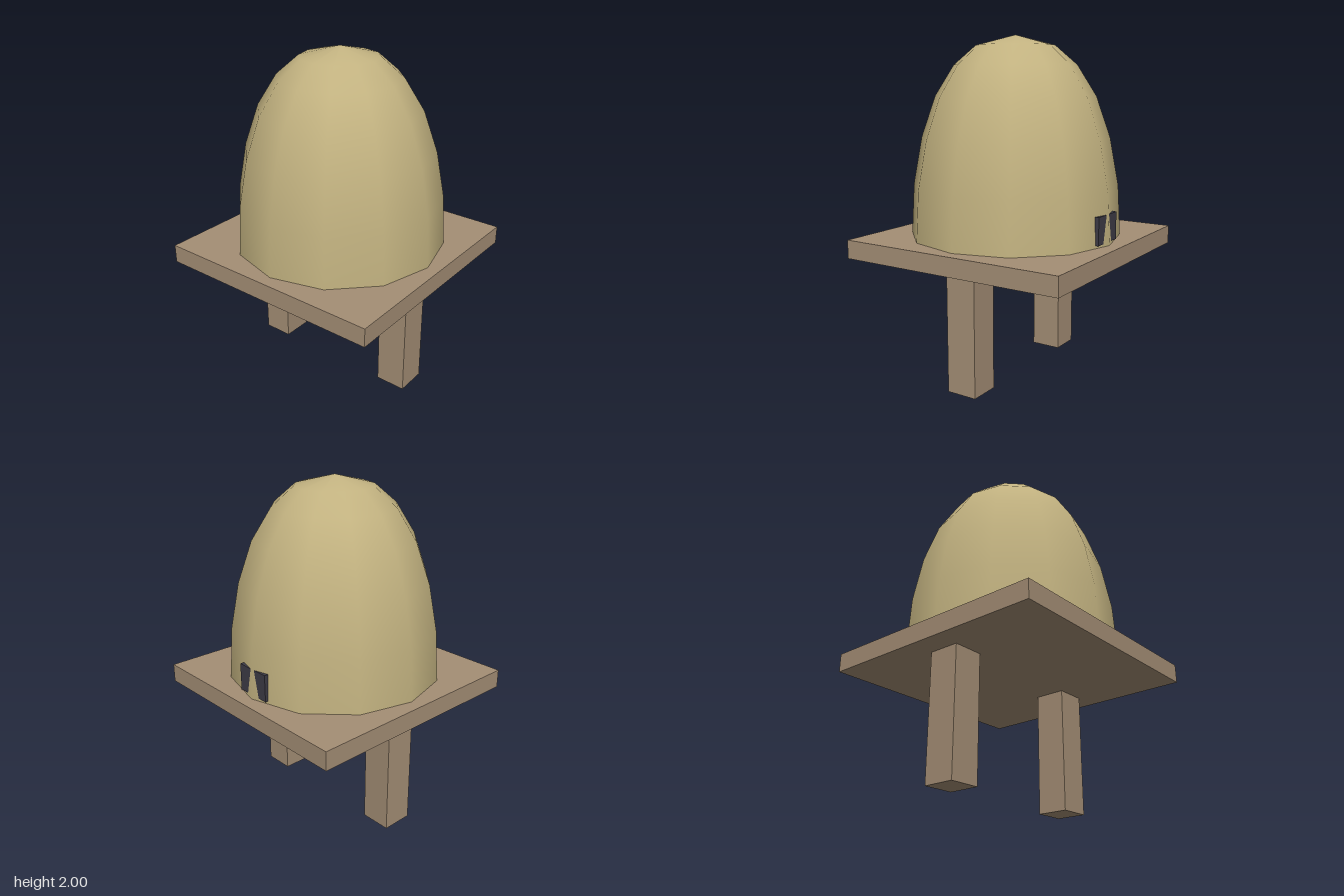
import * as THREE from 'three';

export function createModel() {
  const straw = new THREE.MeshStandardMaterial({ color: 0xc2b280 });
  straw.name = 'straw';
  const wood = new THREE.MeshStandardMaterial({ color: 0xa48e75 });
  wood.name = 'wood';
  const dark = new THREE.MeshStandardMaterial({ color: 0x3e3c47 });
  dark.name = 'darkOpening';

  const model = new THREE.Group();
  model.name = 'beehiveOnStand';

  const add = (name, geometry, material, x, y, z) => {
    const mesh = new THREE.Mesh(geometry, material);
    mesh.name = name;
    mesh.position.set(x, y, z);
    model.add(mesh);
  };

  // Two square legs and the board they carry
  for (const [name, side] of [['leftLeg', 1], ['rightLeg', -1]]) {
    add(name, new THREE.BoxGeometry(0.184, 0.725, 0.186), wood, side * 0.462, 0.3625, 0);
  }
  add('board', new THREE.BoxGeometry(1.4, 0.11, 1.4), wood, 0, 0.78, 0);

  // Smooth twelve-sided dome, from its foot to its tip
  const profile = [
    [0.627, 0.835], [0.61, 1.13], [0.557, 1.41], [0.473, 1.65],
    [0.36, 1.83], [0.23, 1.942], [0, 2],
  ].map(([r, y]) => new THREE.Vector2(r, y));
  add('dome', new THREE.LatheGeometry(profile, 12), straw, 0, 0, 0);

  // Flat entrance at the back, split in two by the dome's ridge
  add('entrance', new THREE.BoxGeometry(0.22, 0.16, 0.05), dark, 0, 0.93, -0.588);

  return model;
}
